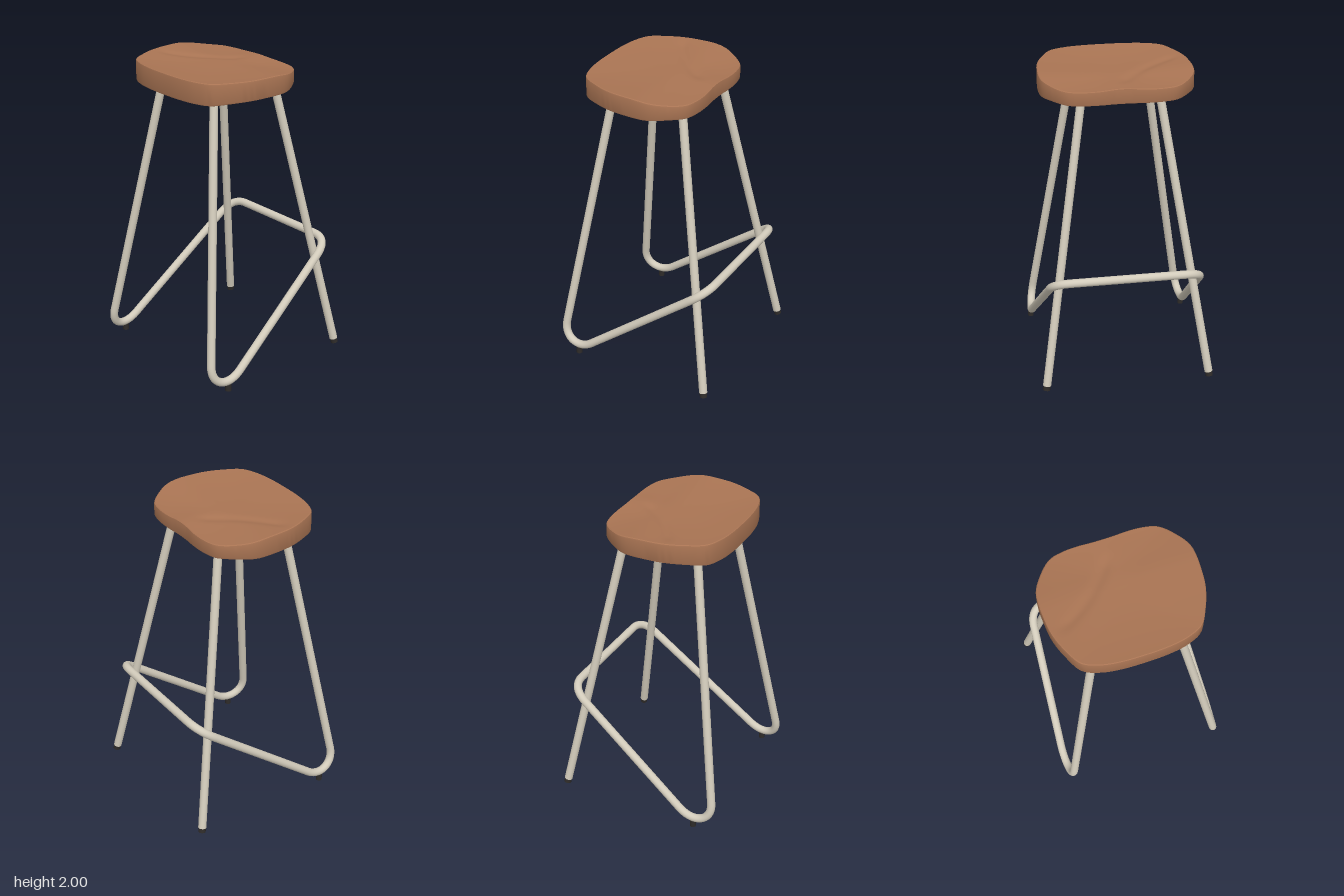
import * as THREE from 'three';
import { toCreasedNormals } from 'three/addons/utils/BufferGeometryUtils.js';

const V = (x, y, z) => new THREE.Vector3(x, y, z);
const smooth = THREE.MathUtils.smoothstep;
const TUBE = 0.027;

// Dished top of the seat: raised rim, dropped front and a shallow diagonal groove
function topHeight(x, z, r) {
  const dish = 0.024 * (1 - r * r);
  const front = smooth(x, -0.02, 0.31) * (0.034 - 0.01 * Math.exp(-((z / 0.12) ** 2)));
  const along = ((x + 0.2) * 0.4 + (z + 0.46) * 0.46) / 0.372;
  const bow = 0.045 * Math.sin(Math.PI * THREE.MathUtils.clamp(along, 0, 1));
  const across = ((x + 0.2) * 0.46 - (z + 0.46) * 0.4) / 0.61 + bow;
  const groove = 0.009 * smooth(along, 0, 0.2) * (1 - smooth(along, 0.85, 1.05))
    * Math.exp(-((across / 0.035) ** 2));
  return 1.998 - dish * (1 - smooth(x, 0.1, 0.31) * 0.5) - front - groove;
}

function bottomHeight(x, z) {
  return 1.856 + 0.016 * smooth(x, 0.05, 0.31) + 0.012 * smooth(Math.abs(z), 0.33, 0.49);
}

// Seat skin: rings of the outline lofted from the underside centre to the top centre
function seatGeometry() {
  const half = [[-0.475, 0.15], [-0.455, 0.27], [-0.41, 0.37], [-0.31, 0.43], [-0.2, 0.472],
    [-0.1, 0.488], [0.09, 0.486], [0.19, 0.435], [0.285, 0.345], [0.311, 0.25], [0.315, 0.15], [0.308, 0.05]];
  const pts = [[-0.48, 0], ...half, ...half.map(([x, z]) => [x, -z]).reverse()];
  const curve = new THREE.CatmullRomCurve3(pts.map(([x, z]) => V(x, 0, z)), true);
  const N = 120, cx = -0.08;
  const outline = curve.getPoints(N).slice(0, N);

  // Each ring: scale, whether it follows the top, vertical offset
  const rings = [[0.002, 0, 0], [0.5, 0, 0], [0.975, 0, 0], [0.993, 0, 0.003], [1, 0, 0.012],
    [1, 1, -0.012], [0.996, 1, -0.004], [0.985, 1, 0]];
  for (let i = 1; i <= 32; i++) rings.push([0.985 * (1 - i / 32) + 0.002, 1, 0]);

  const pos = [], idx = [];
  rings.forEach(([s, top, dy]) => outline.forEach((p) => {
    const x = cx + (p.x - cx) * s, z = p.z * s;
    pos.push(x, (top ? topHeight(x, z, s) : bottomHeight(x, z)) + dy, z);
  }));
  for (let i = 0; i < rings.length - 1; i++) {
    for (let j = 0; j < N; j++) {
      const a = i * N + j, b = i * N + (j + 1) % N;
      idx.push(a, b, a + N, b, b + N, a + N);
    }
  }
  const g = new THREE.BufferGeometry();
  g.setAttribute('position', new THREE.Float32BufferAttribute(pos, 3));
  g.setIndex(idx);
  return toCreasedNormals(g, 0.6);
}

// Straight round bar between two points
function bar(from, to, radius, material, name) {
  const d = to.clone().sub(from);
  const mesh = new THREE.Mesh(new THREE.CylinderGeometry(radius, radius, d.length(), 20), material);
  mesh.position.copy(from).addScaledVector(d, 0.5);
  mesh.quaternion.setFromUnitVectors(V(0, 1, 0), d.normalize());
  mesh.name = name;
  return mesh;
}

// One continuous bent tube: two rear legs, sloping side rails and the footrest
function frameGeometry() {
  const path = new THREE.CurvePath();
  const straight = (p, q) => path.add(new THREE.LineCurve3(p, q));
  const floorBend = (...p) => path.add(new THREE.CubicBezierCurve3(...p));
  const railBend = (...p) => path.add(new THREE.QuadraticBezierCurve3(...p));
  const side = (s) => [V(-0.285, 1.89, 0.245 * s), V(-0.543, 0.2, 0.515 * s), V(-0.56, 0.07, 0.535 * s),
    V(-0.43, 0.02, 0.552 * s), V(-0.32, 0.115, 0.545 * s), V(0.4, 0.68, 0.487 * s),
    V(0.508, 0.765, 0.478 * s), V(0.51, 0.765, 0.35 * s)];
  const a = side(1), b = side(-1);
  straight(a[0], a[1]);
  floorBend(a[1], a[2], a[3], a[4]);
  straight(a[4], a[5]);
  railBend(a[5], a[6], a[7]);
  straight(a[7], b[7]);
  railBend(b[7], b[6], b[5]);
  straight(b[5], b[4]);
  floorBend(b[4], b[3], b[2], b[1]);
  straight(b[1], b[0]);
  return new THREE.TubeGeometry(path, 360, TUBE, 16, false);
}

export function createModel() {
  const wood = new THREE.MeshStandardMaterial({ color: 0xa97453 });
  wood.name = 'wood';
  const metal = new THREE.MeshStandardMaterial({ color: 0xd2cbbb });
  metal.name = 'painted metal';
  const rubber = new THREE.MeshStandardMaterial({ color: 0x2e2b29 });
  rubber.name = 'dark rubber';

  const model = new THREE.Group();
  model.name = 'barStool';

  const seat = new THREE.Mesh(seatGeometry(), wood);
  seat.name = 'seat';
  const frame = new THREE.Mesh(frameGeometry(), metal);
  frame.name = 'bentFrame';
  model.add(seat, frame);

  // Straight legs on the +x side and floor glides, mirrored across z
  for (const s of [1, -1]) {
    const end = s > 0 ? 'Front' : 'Back';
    const top = V(0.2, 1.89, 0.245 * s), foot = V(0.541, 0.004, 0.543 * s);
    const ankle = foot.clone().lerp(top, 0.016);
    model.add(bar(ankle, top, TUBE, metal, `straightLeg${end}`));
    model.add(bar(foot, ankle, 0.024, rubber, `legGlide${end}`));
    model.add(bar(V(-0.428, 0, 0.548 * s), V(-0.428, 0.045, 0.548 * s), 0.02, rubber, `frameGlide${end}`));
  }
  return model;
}
